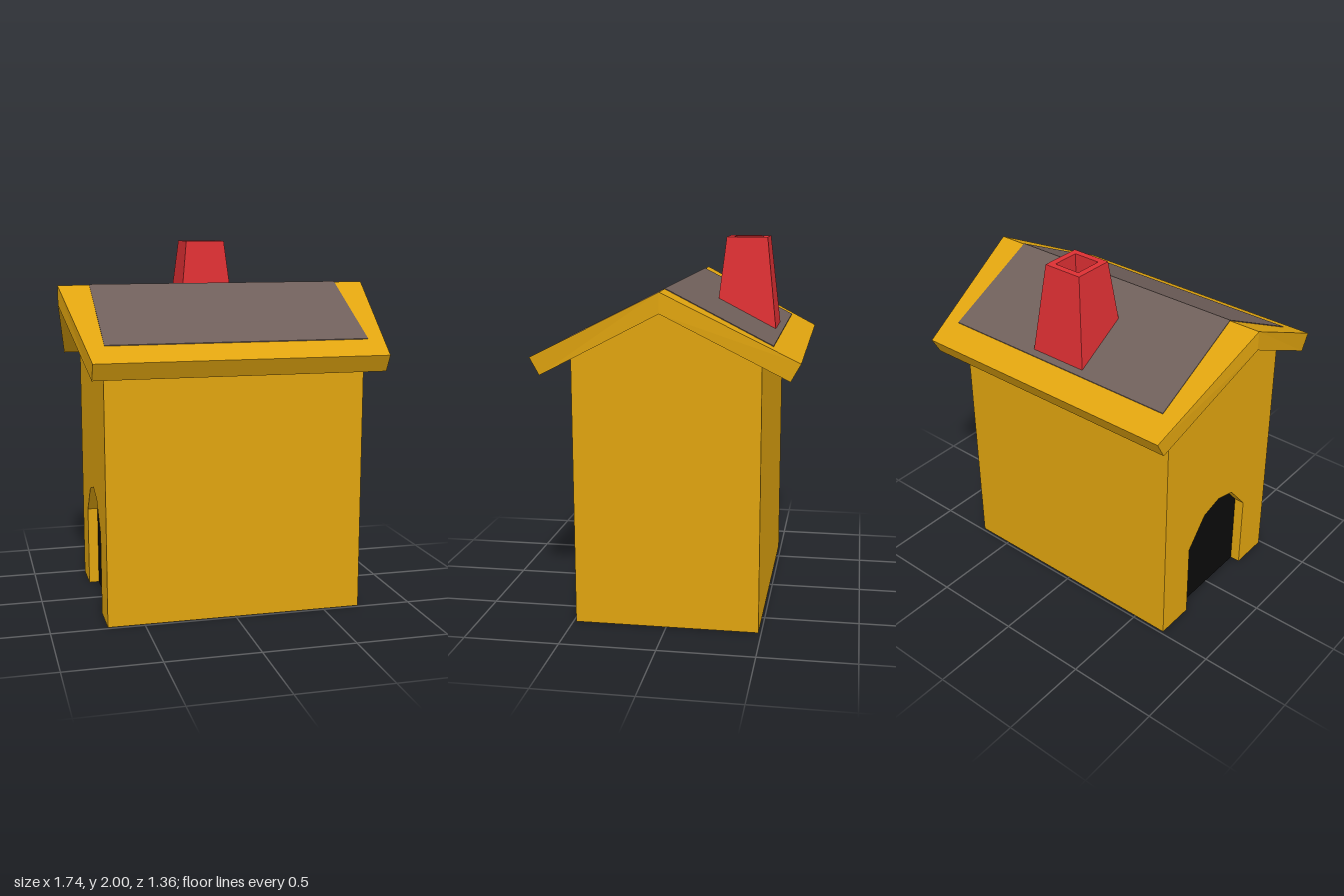
import * as THREE from 'three';

const mat = (name, color) => {
  const m = new THREE.MeshStandardMaterial({ color });
  m.name = name;
  return m;
};

// Extrudes a (z, y) profile along x, from x0 to x1
function extrudeX(points, x0, x1) {
  const shape = new THREE.Shape(points.map(([z, y]) => new THREE.Vector2(z, y)));
  const geo = new THREE.ExtrudeGeometry(shape, { depth: x1 - x0, bevelEnabled: false });
  return geo.rotateY(Math.PI / 2).translate(x0, 0, 0);
}

export function createModel() {
  const gold = mat('gold', 0xe0a40f);
  const slate = mat('slate', 0x6f5f5a);
  const red = mat('red', 0xdc2f33);
  const black = mat('black', 0x0a0a0a);

  const house = new THREE.Group();
  house.name = 'house';
  const add = (name, geo, material) => {
    const mesh = new THREE.Mesh(geo, material);
    mesh.name = name;
    house.add(mesh);
    return mesh;
  };

  const x0 = -0.697, x1 = 0.705, recess = 0.06, wall = 0.485;
  const gable = [[wall, 1.43], [0, 1.69], [-wall, 1.43]];

  // Solid body, then the end wall with its arched doorway cut out
  add('body', extrudeX([[-wall, 0], [wall, 0], ...gable], x0 + recess, x1), gold);
  const arch = [[-0.265, 0], [-0.265, 0.45], [-0.13, 0.61], [0, 0.645],
    [0.13, 0.61], [0.265, 0.45], [0.265, 0]];
  add('doorWall', extrudeX([[-wall, 0], ...arch, [wall, 0], ...gable], x0, x0 + recess), gold);
  add('doorway', extrudeX(arch, x0 + recess - 0.004, x0 + recess), black);

  // Roof: a chevron whose ridge is longer than its eaves
  const roof = extrudeX([[-0.63, 1.335], [0, 1.665], [0.63, 1.335],
    [0.68, 1.425], [0, 1.77], [-0.68, 1.425]], -1, 1);
  const pos = roof.attributes.position;
  for (let i = 0; i < pos.count; i++) {
    const half = Math.abs(pos.getZ(i)) > 0.1 ? 0.775 : 0.868;
    pos.setX(i, Math.sign(pos.getX(i)) * half);
  }
  roof.computeVertexNormals();
  add('roof', roof, gold);

  // Thin shingle sheet folded over the ridge
  const edge = 0.54, edgeY = 1.77 - edge * 0.345 / 0.68, t = 0.004;
  add('shingles', extrudeX([[-edge, edgeY], [0, 1.77], [edge, edgeY],
    [edge, edgeY + t], [0, 1.77 + t], [-edge, edgeY + t]], x0, x1), slate);

  // Tapered hollow chimney with four sides
  const profile = [[0.167, 1.5], [0.11, 2], [0.075, 2], [0.075, 1.8]]
    .map(([half, y]) => new THREE.Vector2(half * Math.SQRT2, y));
  const stack = new THREE.LatheGeometry(profile, 4, Math.PI / 4).toNonIndexed();
  stack.computeVertexNormals();
  add('chimney', stack, red).position.set(0.004, 0, -0.343);
  const flue = new THREE.PlaneGeometry(0.15, 0.15).rotateX(-Math.PI / 2);
  add('flue', flue, black).position.set(0.004, 1.802, -0.343);

  return house;
}
